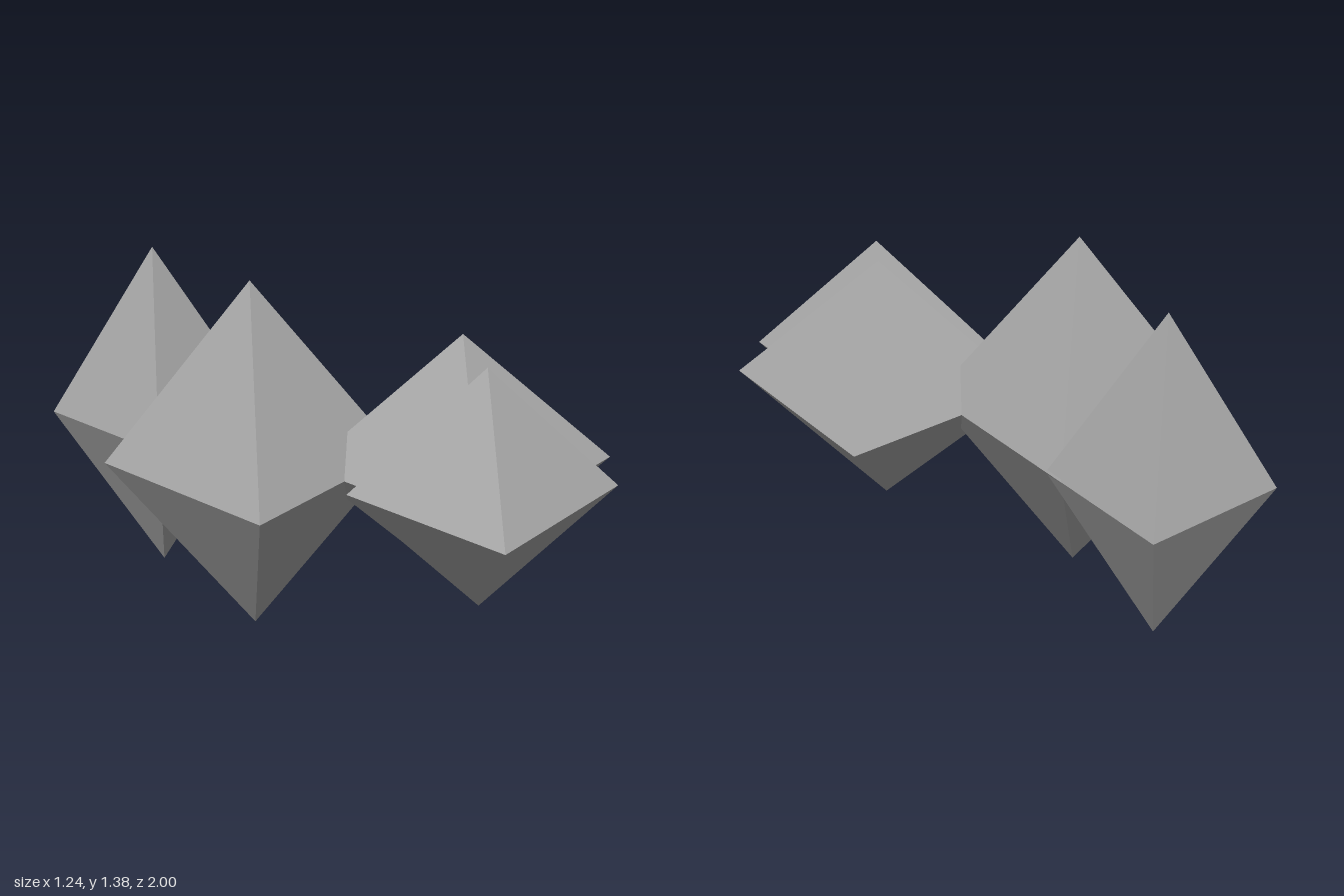
import * as THREE from 'three';

export function createModel() {
  const model = new THREE.Group();
  const stone = new THREE.MeshStandardMaterial({ color: 0xa6a6a6 });
  stone.name = 'grey stone';

  // Unit crystal: square waist with corners at (±1, 0, ±1), tips at y = ±1
  const crystal = new THREE.OctahedronGeometry(1)
    .rotateY(Math.PI / 4)
    .scale(Math.SQRT2, 1, Math.SQRT2);

  const waistY = 0.69;

  // name, centre x, centre z, half width, half height
  const crystals = [
    ['largeCrystal', -0.24, -0.138, 0.38, 0.688],
    ['rearCrystal', -0.145, -0.716, 0.284, 0.656],
    ['sideCrystal', 0.221, 0.455, 0.394, 0.5],
    ['frontCrystal', 0.092, 0.658, 0.342, 0.468],
  ];

  for (const [name, x, z, half, height] of crystals) {
    const mesh = new THREE.Mesh(crystal, stone);
    mesh.name = name;
    mesh.position.set(x, waistY, z);
    mesh.scale.set(half, height, half);
    model.add(mesh);
  }
  return model;
}
